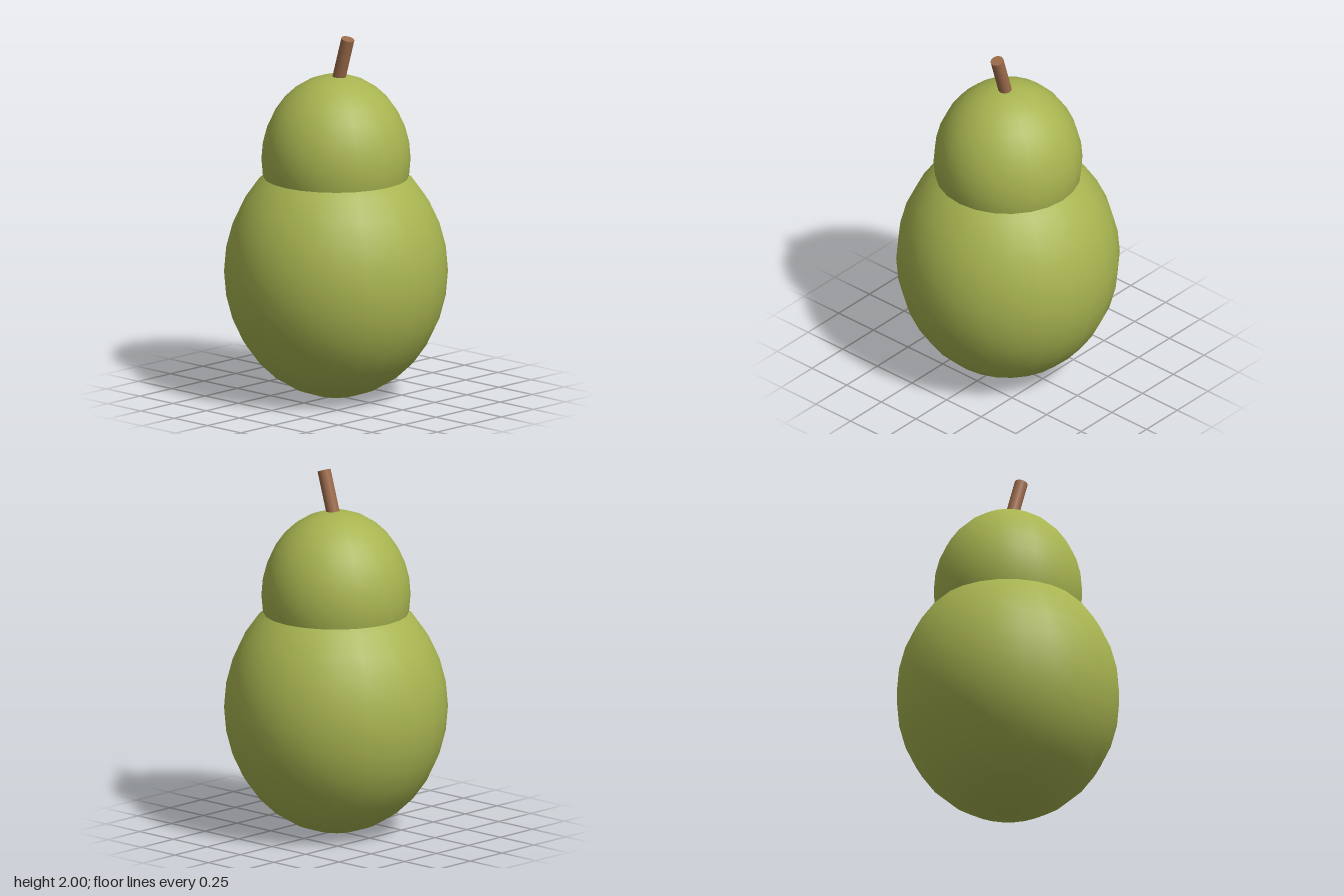
import * as THREE from 'three';

export function createModel() {
  const model = new THREE.Group();
  model.name = 'pear';

  const skin = new THREE.MeshStandardMaterial({ name: 'green skin', color: 0xa8b450 });
  const bark = new THREE.MeshStandardMaterial({ name: 'brown stem', color: 0x9c6b4a });

  // Fruit: two overlapping, slightly stretched spheres
  function addLobe(name, radius, height, y) {
    const geometry = new THREE.SphereGeometry(1, 24, 16);
    geometry.scale(radius, height, radius);
    const lobe = new THREE.Mesh(geometry, skin);
    lobe.name = name;
    lobe.position.y = y;
    model.add(lobe);
  }
  addLobe('body', 0.605, 0.692, 0.692);
  addLobe('neck', 0.403, 0.463, 1.315);

  // Stem: leaning towards +x, its lower end sunk into the neck
  const length = 0.3;
  const stemGeometry = new THREE.CylinderGeometry(0.036, 0.036, length, 16);
  stemGeometry.translate(0, -length / 2, 0);
  const stem = new THREE.Mesh(stemGeometry, bark);
  stem.name = 'stem';
  stem.position.set(0.089, 1.99, 0);
  stem.rotation.z = -0.29;
  model.add(stem);

  return model;
}
